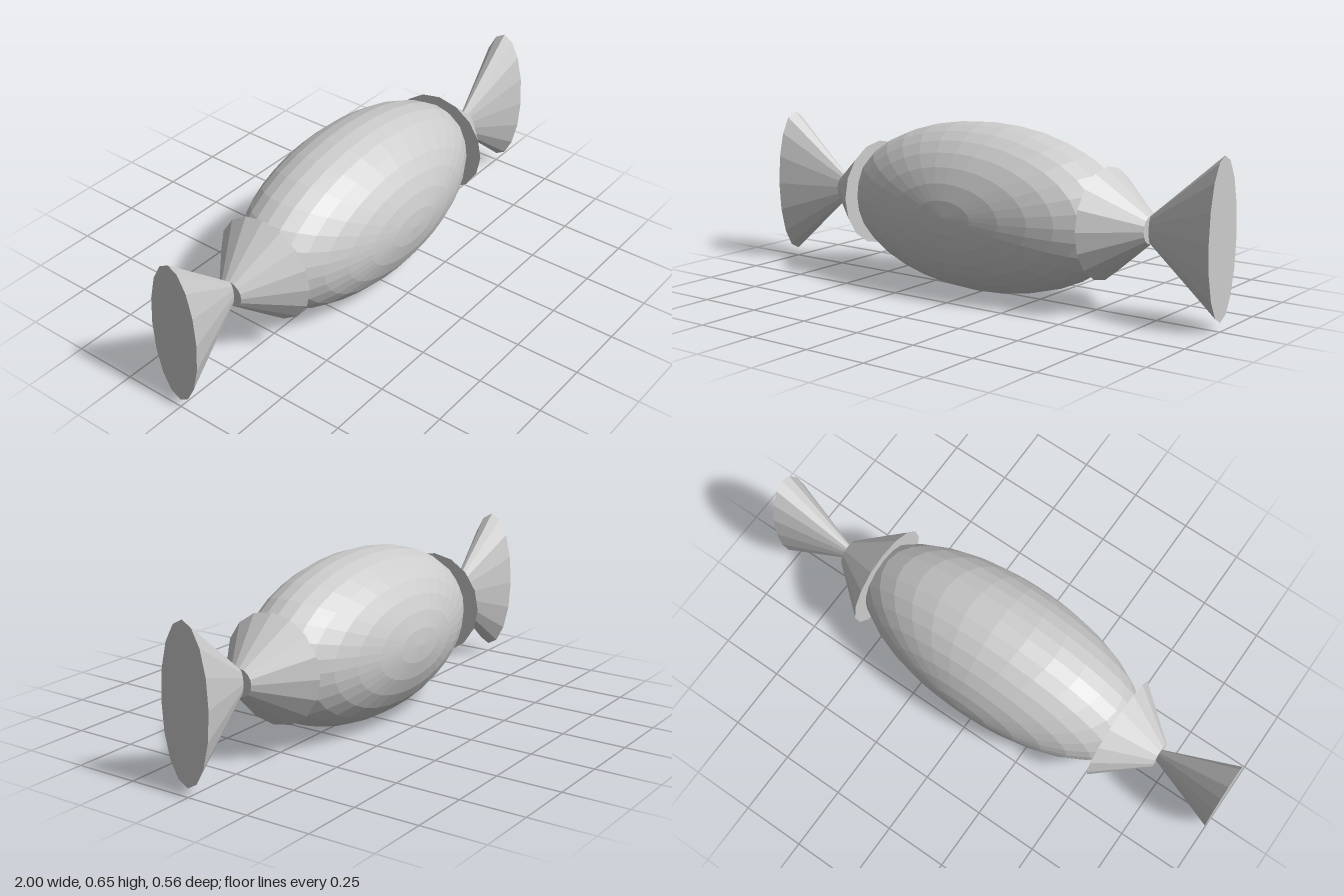
import * as THREE from 'three';

const CENTER_Y = 0.328;

export function createModel() {
  const group = new THREE.Group();
  const material = new THREE.MeshStandardMaterial({ color: 0xcccccc, flatShading: true });

  const add = (name, geometry, x) => {
    const mesh = new THREE.Mesh(geometry, material);
    mesh.name = name;
    mesh.position.set(x, CENTER_Y, 0);
    group.add(mesh);
  };

  // Cone frustum lying along x, flattened in z; the radii run inner to outer
  const frustum = (innerR, outerR, length, side, flat) =>
    new THREE.CylinderGeometry(outerR, innerR, length, 16)
      .rotateZ(-side * Math.PI / 2)
      .scale(1, 1, flat);

  // Sweet body: ellipsoid with its poles at front and back
  const body = new THREE.SphereGeometry(1, 32, 16).rotateX(Math.PI / 2).scale(0.62, 0.325, 0.278);
  add('candyBody', body, 0);

  // Twisted wrapper ends, mirrored
  for (const [label, side] of [['left', 1], ['right', -1]]) {
    add(label + 'WrapperCollar', frustum(0.208, 0.052, 0.185, side, 1), side * 0.6275);
    add(label + 'WrapperFan', frustum(0.052, 0.292, 0.28, side, 0.35), side * 0.86);
  }

  return group;
}
